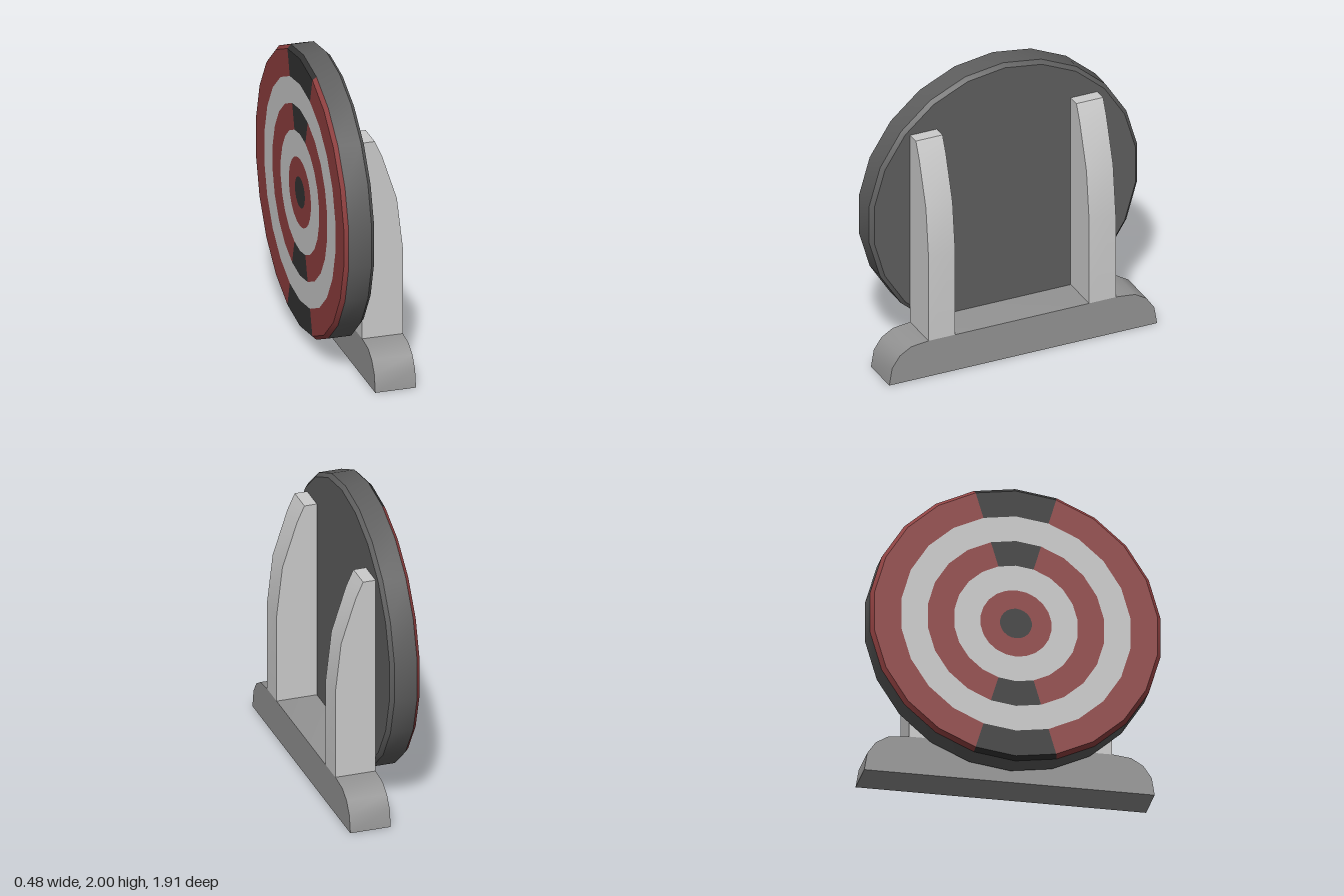
import * as THREE from 'three';
import { toCreasedNormals } from 'three/addons/utils/BufferGeometryUtils.js';

const SIDES = 22;
const STEP = (Math.PI * 2) / SIDES;
const CENTRE_Y = 1.035;
const FACE = 0.24; // distance of the painted face from x = 0

const material = (color) => new THREE.MeshStandardMaterial({ color });
const GREY = material(0xcccccc);
const BASE = material(0x949494);
const DARK = material(0x5f5f5f);
const RED = material(0x914040);
const BLACK = material(0x343434);

const points = (list) => list.map(([a, b]) => new THREE.Vector2(a, b));

// Turned piece on the x axis: profile pairs are (radius, distance toward -x),
// covering `count` sides from side `first`, counted from the top corner.
function turned(name, profile, mat, first = 0, count = SIDES) {
  let geo = new THREE.LatheGeometry(points(profile), count, Math.PI / 2 + first * STEP, count * STEP);
  geo.rotateZ(Math.PI / 2);
  geo = toCreasedNormals(geo, 0.6);
  const mesh = new THREE.Mesh(geo, mat);
  mesh.name = name;
  return mesh;
}

// Flat outline pushed out along z
function extruded(name, outline, depth, mat) {
  const geo = new THREE.ExtrudeGeometry(new THREE.Shape(points(outline)), { depth, bevelEnabled: false });
  const mesh = new THREE.Mesh(toCreasedNormals(geo, 0.7), mat);
  mesh.name = name;
  return mesh;
}

function createTarget() {
  const target = new THREE.Group();
  target.name = 'target';
  target.position.y = CENTRE_Y;

  // Dark body: back, back bevel and rim
  target.add(turned('targetBody', [[0, 0.035], [0.94, 0.035], [0.965, 0.06], [0.965, 0.215]], DARK));

  // Two-colour rings: black for two sides at top and bottom, red elsewhere
  const split = [
    ['outerRing', [[0.965, 0.215], [0.94, FACE], [0.76, FACE]]],
    ['middleRing', [[0.585, FACE], [0.41, FACE]]],
  ];
  for (const [name, profile] of split) {
    for (const half of [0, SIDES / 2]) {
      target.add(turned(name + 'Black', profile, BLACK, half - 1, 2));
      target.add(turned(name + 'Red', profile, RED, half + 1, SIDES / 2 - 2));
    }
  }

  // Plain rings and bullseye
  target.add(turned('outerPaleRing', [[0.76, FACE], [0.585, FACE]], GREY));
  target.add(turned('innerPaleRing', [[0.41, FACE], [0.235, FACE]], GREY));
  target.add(turned('innerRedRing', [[0.235, FACE], [0.105, FACE]], RED));
  target.add(turned('bullseye', [[0.105, FACE], [0, FACE]], BLACK));
  return target;
}

export function createModel() {
  const model = new THREE.Group();
  model.name = 'targetOnStand';
  model.add(createTarget());

  // Foot with rounded ends, running along z
  const end = [[0.955, 0], [0.935, 0.12], [0.88, 0.2], [0.8, 0.248], [0.68, 0.262]];
  const mirrored = end.map(([a, b]) => [-a, b]).reverse();
  const base = extruded('base', [...end, ...mirrored], 0.275, BASE);
  base.rotation.y = Math.PI / 2;
  base.position.x = -0.035;
  model.add(base);

  // Tapered uprights behind the target
  const outline = [
    [-0.035, 0.262], [0.24, 0.262], [0.24, 0.87], [0.2, 1.22],
    [0.1, 1.53], [0.05, 1.64], [-0.035, 1.64],
  ];
  for (const [name, z] of [['leftPost', 0.485], ['rightPost', -0.66]]) {
    const post = extruded(name, outline, 0.19, GREY);
    post.position.z = z;
    model.add(post);
  }
  return model;
}
